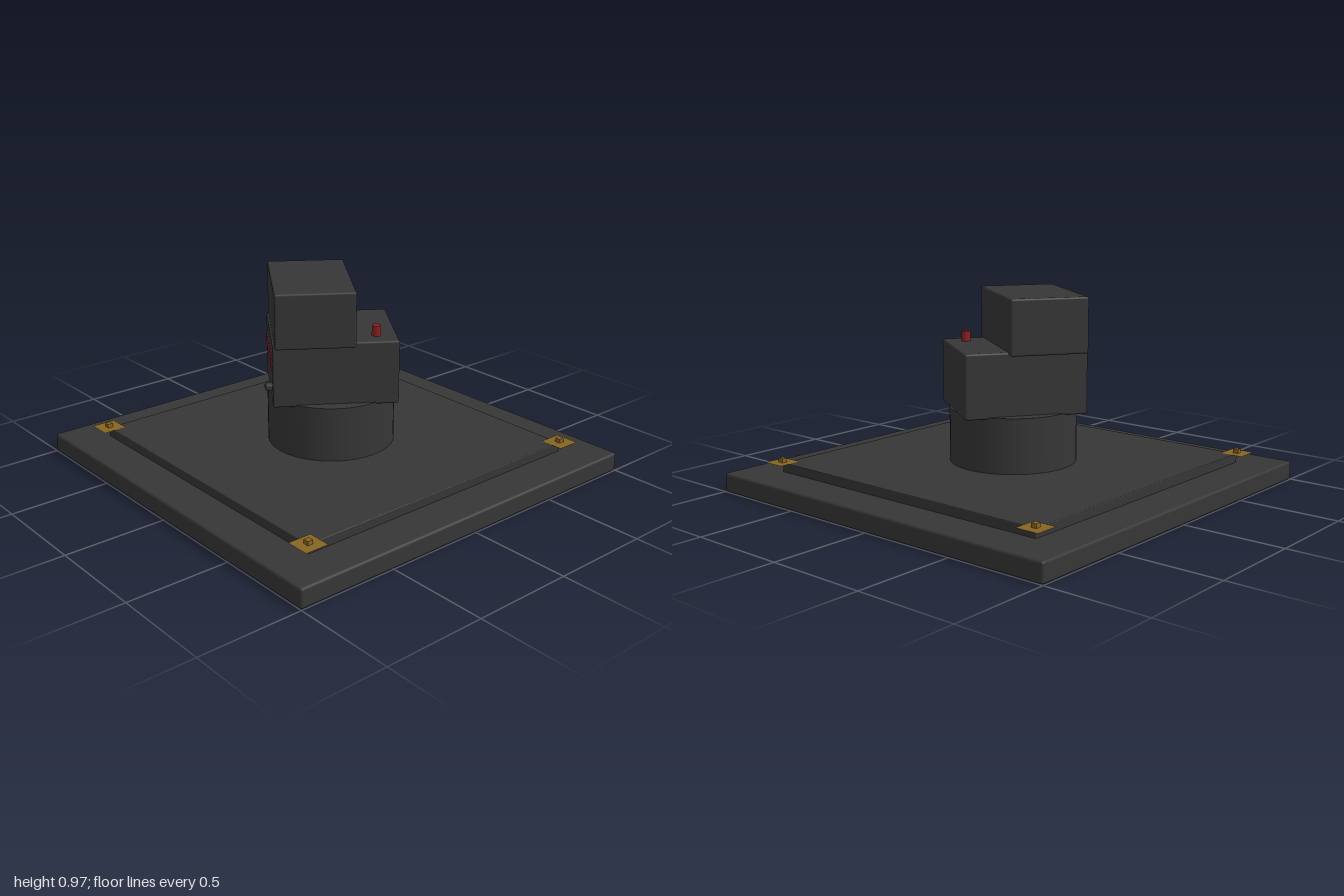
import * as THREE from 'three';
import { RoundedBoxGeometry } from 'three/addons/geometries/RoundedBoxGeometry.js';

const mat = (name, color, opts = {}) => {
  const m = new THREE.MeshStandardMaterial({ color, ...opts });
  m.name = name;
  return m;
};

export function createModel() {
  const charcoal = mat('charcoal', 0x363636);
  const red = mat('dark red', 0x8b2020);
  const gold = mat('dull gold', 0x876522, { side: THREE.DoubleSide });

  const model = new THREE.Group();
  model.name = 'turret';

  const add = (parent, name, geometry, material, x, y, z) => {
    const mesh = new THREE.Mesh(geometry, material);
    mesh.name = name;
    mesh.position.set(x, y, z);
    parent.add(mesh);
    return mesh;
  };
  // Softly bevelled box, placed by its bottom height
  const box = (parent, name, w, h, d, x, y0, z, r = 0.01, material = charcoal) =>
    add(parent, name, new RoundedBoxGeometry(w, h, d, 2, r), material, x, y0 + h / 2, z);

  // Floor slab, raised plate and round pedestal
  box(model, 'baseSlab', 2, 0.095, 2, 0, 0, 0, 0.012);
  box(model, 'raisedPlate', 1.6, 0.06, 1.6, 0, 0.08, 0, 0.004);
  add(model, 'pedestal', new THREE.CylinderGeometry(0.313, 0.313, 0.28, 48), charcoal, 0, 0.27, 0);

  // Corner markers: a flat square with a small stud
  for (const x of [-0.8, 0.8]) {
    for (const z of [-0.8, 0.8]) {
      const plate = new THREE.PlaneGeometry(0.12, 0.12).rotateX(-Math.PI / 2);
      add(model, 'cornerPlate', plate, gold, x, 0.144, z);
      add(model, 'cornerStud', new THREE.BoxGeometry(0.028, 0.02, 0.028), gold, x, 0.154, z);
    }
  }

  // Turned head made of two stacked blocks
  const head = new THREE.Group();
  head.name = 'head';
  head.rotation.y = -0.6;
  model.add(head);
  box(head, 'lowerBlock', 0.5, 0.315, 0.6, 0, 0.4, 0);
  box(head, 'upperBlock', 0.58, 0.27, 0.38, 0, 0.7, 0.1);

  // Front stripe, side knob and top button
  add(head, 'frontStripe', new THREE.BoxGeometry(0.4, 0.06, 0.008), red, 0, 0.6, 0.3);
  box(head, 'frontKnob', 0.05, 0.034, 0.06, 0.19, 0.471, 0.305, 0.012);
  add(head, 'topButton', new THREE.CylinderGeometry(0.022, 0.022, 0.06, 12), red, 0.155, 0.735, -0.2);

  return model;
}
